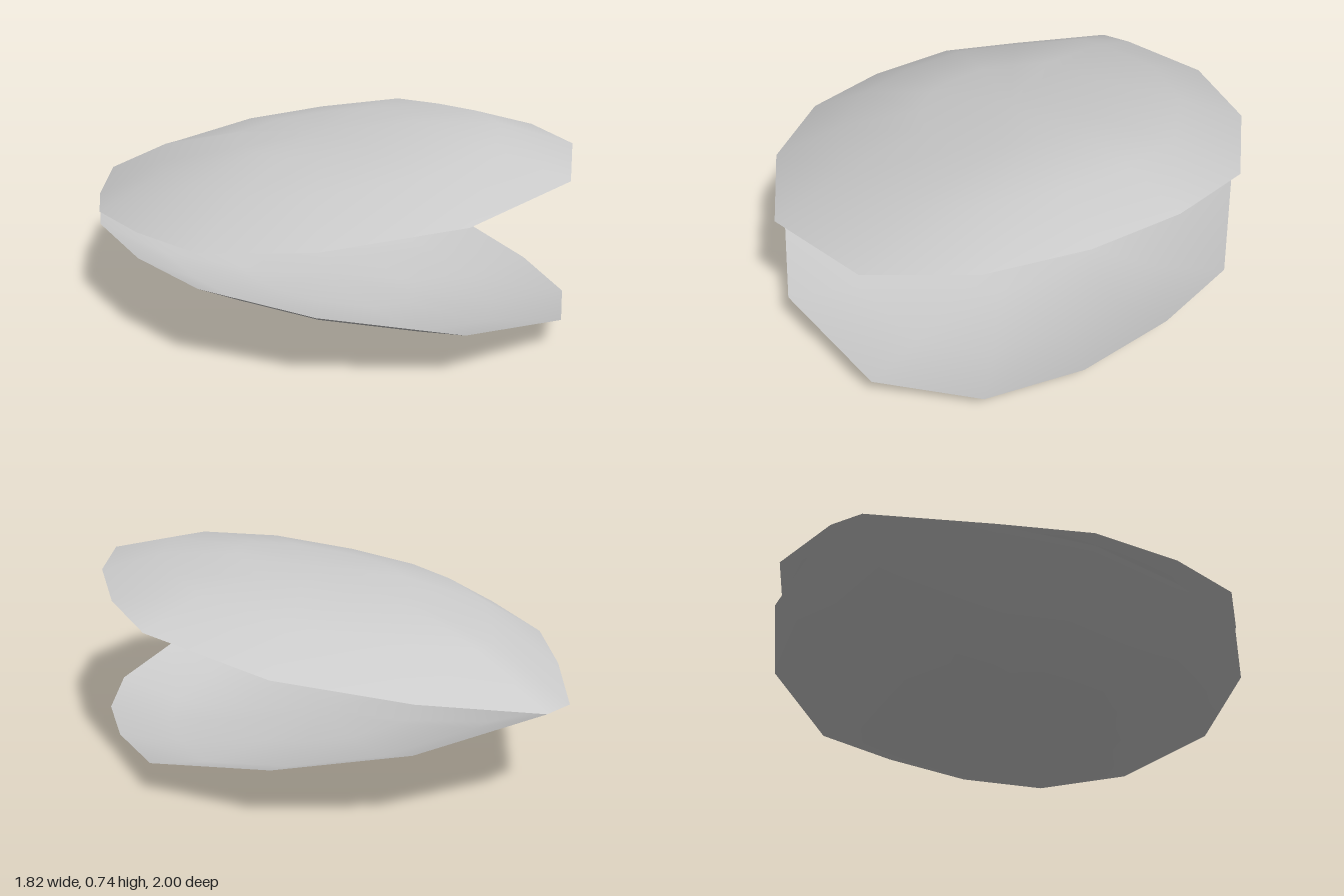
import * as THREE from 'three';

// Rim of one valve as [x, y, z], clockwise seen from above
const RIM = [
  [-0.27, 0.465, -1.0], [0.2, 0.535, -0.95], [0.64, 0.62, -0.69], [0.8, 0.645, -0.36],
  [0.9, 0.675, 0.02], [0.905, 0.682, 0.41], [0.73, 0.64, 0.78], [0.28, 0.567, 0.995],
  [-0.22, 0.49, 0.92], [-0.59, 0.44, 0.7], [-0.78, 0.425, 0.38], [-0.91, 0.4, 0.01],
  [-0.905, 0.377, -0.34], [-0.84, 0.375, -0.78], [-0.74, 0.375, -0.87],
];
// Rings of the dome: scale of the rim and bulge above it
const RINGS = [[1, 0], [0.72, 0.115], [0.38, 0.168]];
const CENTRE_Y = 0.505, CENTRE_BULGE = 0.18, HINGE_Y = 0.375;

// Shallow domed valve; the lower one is mirrored across the hinge plane
function valveGeometry(lower) {
  const positions = [], index = [], n = RIM.length;
  const add = (x, y, z) => positions.push(x, lower ? 2 * HINGE_Y - y : y, z);
  const face = (a, b, c) => (lower ? index.push(a, c, b) : index.push(a, b, c));

  for (const [s, bulge] of RINGS) {
    for (const [x, y, z] of RIM) add(x * s, CENTRE_Y + (y - CENTRE_Y) * s + bulge, z * s);
  }
  add(0, CENTRE_Y + CENTRE_BULGE, 0);

  const top = RINGS.length * n;
  for (let i = 0; i < n; i++) {
    const j = (i + 1) % n;
    for (let r = 0; r < RINGS.length - 1; r++) {
      const a = r * n, b = a + n;
      face(a + i, b + i, a + j);
      face(a + j, b + i, b + j);
    }
    face(top - n + i, top, top - n + j);
  }

  const geometry = new THREE.BufferGeometry();
  geometry.setAttribute('position', new THREE.Float32BufferAttribute(positions, 3));
  geometry.setIndex(index);
  geometry.computeVertexNormals();
  return geometry;
}

export function createModel() {
  const group = new THREE.Group();
  group.name = 'openClamShell';
  const shell = new THREE.MeshStandardMaterial({ color: 0xcccccc, side: THREE.DoubleSide });
  shell.name = 'shellGrey';

  for (const [name, lower] of [['upperValve', false], ['lowerValve', true]]) {
    const valve = new THREE.Mesh(valveGeometry(lower), shell);
    valve.name = name;
    group.add(valve);
  }
  return group;
}
